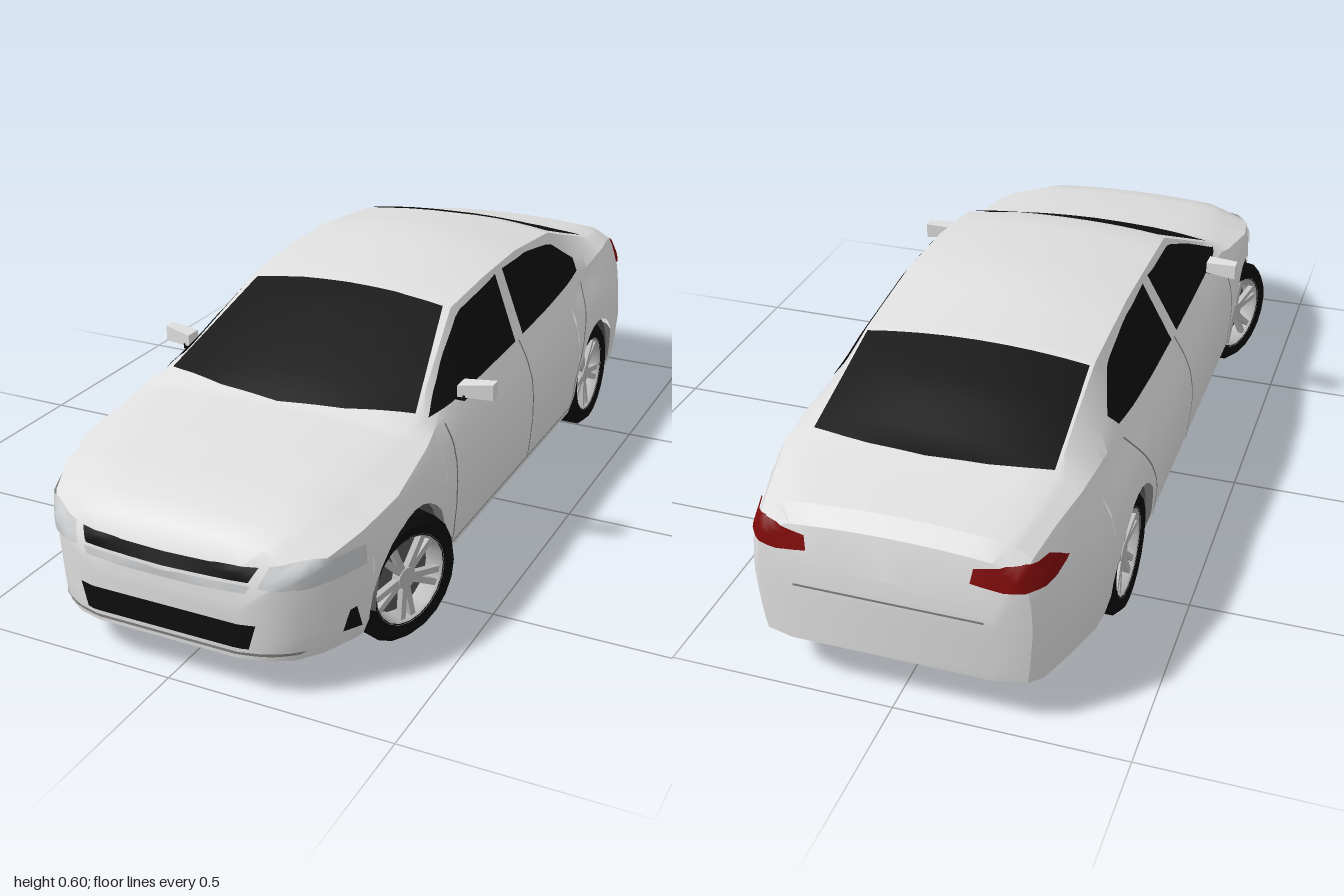
import * as THREE from 'three';
import { mergeGeometries, toCreasedNormals } from 'three/addons/utils/BufferGeometryUtils.js';

const mat = (name, color, double = true) => {
  const m = new THREE.MeshStandardMaterial({ color, side: double ? THREE.DoubleSide : THREE.FrontSide });
  m.name = name;
  return m;
};

// Body stations: z, half width, bottom y, shoulder y, roof edge x, roof edge y, centre y
const KEYS = [
  [0.995, 0.17, 0.09, 0.20, 0.12, 0.235, 0.25], [0.98, 0.23, 0.088, 0.25, 0.16, 0.28, 0.287],
  [0.95, 0.28, 0.085, 0.28, 0.20, 0.312, 0.322], [0.90, 0.322, 0.085, 0.305, 0.23, 0.337, 0.347],
  [0.82, 0.358, 0.085, 0.328, 0.25, 0.36, 0.37], [0.70, 0.382, 0.085, 0.35, 0.27, 0.378, 0.39],
  [0.53, 0.387, 0.085, 0.38, 0.295, 0.398, 0.413], [0.47, 0.387, 0.085, 0.395, 0.305, 0.418, 0.443],
  [0.18, 0.387, 0.085, 0.41, 0.255, 0.555, 0.572], [0, 0.387, 0.085, 0.412, 0.262, 0.573, 0.592],
  [-0.2, 0.387, 0.085, 0.417, 0.262, 0.576, 0.604], [-0.45, 0.387, 0.088, 0.425, 0.26, 0.55, 0.57],
  [-0.6, 0.387, 0.09, 0.43, 0.262, 0.50, 0.522], [-0.75, 0.375, 0.095, 0.43, 0.268, 0.452, 0.465],
  [-0.85, 0.345, 0.10, 0.415, 0.26, 0.437, 0.447], [-0.94, 0.315, 0.11, 0.395, 0.235, 0.42, 0.432],
  [-0.97, 0.29, 0.115, 0.37, 0.21, 0.39, 0.40], [-0.995, 0.22, 0.125, 0.27, 0.17, 0.30, 0.315],
];
// Side curvature: height, fraction of the half width
const PROFILE = [[0.45, 0.84], [0.41, 0.87], [0.35, 0.96], [0.3, 0.99], [0.24, 1], [0.12, 0.97], [0.08, 0.93]];
const WHEELS = [0.645, -0.535], WHEEL_Y = 0.14, ARCH = 0.155;

// Linear lookup in a table whose first column descends
function lookup(table, v) {
  let i = 0;
  while (i < table.length - 2 && v < table[i + 1][0]) i++;
  const a = table[i], b = table[i + 1];
  const t = THREE.MathUtils.clamp((a[0] - v) / (a[0] - b[0]), 0, 1);
  return a.map((n, k) => n + (b[k] - n) * t);
}

function gridGeometry(rows, extra = []) {
  const n = rows[0].length, index = [...extra];
  for (let i = 0; i < rows.length - 1; i++)
    for (let j = 0; j < n - 1; j++) {
      const a = i * n + j, d = a + n;
      index.push(a, d, d + 1, a, d + 1, a + 1);
    }
  const g = new THREE.BufferGeometry();
  g.setAttribute('position', new THREE.Float32BufferAttribute(rows.flat(2), 3));
  g.setIndex(index);
  return g;
}

function stations() {
  const zs = KEYS.map(k => k[0]).concat([0.4, 0.3, 0.1, -0.1, -0.3]);
  for (const w of WHEELS) {
    for (let i = 0; i <= 14; i++) zs.push(w + ARCH * Math.cos(Math.PI * i / 14));
    zs.push(w + ARCH + 0.001, w - ARCH - 0.001);
  }
  return zs.sort((a, b) => b - a);
}
const archAt = z => WHEELS.find(w => Math.abs(z - w) < ARCH + 0.0005);

// Full cross-section from the left sill over the roof to the right sill
function section(z) {
  const [, W, base, ys, xe, ye, yc] = lookup(KEYS, z), w = archAt(z);
  const yb = w === undefined ? base : WHEEL_Y + Math.sqrt(Math.max(0, ARCH ** 2 - (z - w) ** 2));
  const half = [];
  for (let i = 0; i <= 7; i++) {
    const y = yb + (ys - yb) * i / 7;
    half.push([W * lookup(PROFILE, y)[1], y, z]);
  }
  const xs = half[7][0];
  for (let i = 1; i <= 3; i++) half.push([xs + (xe - xs) * i / 3, ys + (ye - ys) * i / 3, z]);
  for (let i = 1; i <= 4; i++) half.push([xe * (1 - i / 4), ye + (yc - ye) * (1 - (1 - i / 4) ** 2), z]);
  return half.concat(half.slice(0, -1).reverse().map(p => [-p[0], p[1], p[2]]));
}

export function createModel() {
  const car = new THREE.Group();
  car.name = 'sedan';
  const paint = mat('white paint', 0xdedede), glass = mat('black glass', 0x0e0e0e), rubber = mat('tire rubber', 0x0b0b0b);
  const alloy = mat('alloy', 0xb8b8b8), red = mat('tail lamp red', 0x7d0a0a), lamp = mat('headlamp', 0xc6c8ca);
  const under = mat('underbody grey', 0x565656), seam = mat('seam grey', 0x808080);
  const add = (name, geo, m, parent = car, pos = [0, 0, 0]) => {
    const mesh = new THREE.Mesh(geo, m);
    mesh.name = name;
    mesh.position.set(...pos);
    parent.add(mesh);
    return mesh;
  };

  // Body shell with closed nose and tail
  const zs = stations(), rows = zs.map(section), n = rows[0].length, caps = [];
  const last = (rows.length - 1) * n;
  for (let j = 0; j < (n - 1) / 2; j++) {
    const a = j, b = j + 1, c = n - 2 - j, d = n - 1 - j;
    caps.push(a, b, c, a, c, d, last + a, last + c, last + b, last + a, last + d, last + c);
  }
  const body = add('bodyShell', toCreasedNormals(gridGeometry(rows, caps), 0.45), paint);
  body.updateMatrixWorld(true);

  // Floor, narrowed between the wheels
  add('floor', gridGeometry(zs.map((z, i) => {
    const x = archAt(z) === undefined ? rows[i][0][0] : 0.2, y = lookup(KEYS, z)[2] + 0.004;
    return [[-x, y, z], [x, y, z]];
  })), under);

  // Thin plate laid on the shell between two outlines; axis gives the casting direction
  const ray = new THREE.Raycaster();
  function plate(name, m, axis, sign, lower, upper, nu = 16, nv = 6, lift = 0.004) {
    const at = (line, t) => {
      const s = t * (line.length - 1), i = Math.min(Math.floor(s), line.length - 2);
      return line[i].map((v, k) => v + (line[i + 1][k] - v) * (s - i));
    };
    let depth = 0;
    const grid = [];
    for (let v = 0; v <= nv; v++) {
      const row = [];
      for (let u = 0; u <= nu; u++) {
        const a = at(lower, u / nu), b = at(upper, u / nu);
        const p = a.map((q, k) => q + (b[k] - q) * v / nv);
        const place = d => axis === 'x' ? new THREE.Vector3(d, p[1], p[0])
          : axis === 'y' ? new THREE.Vector3(p[0], d, p[1]) : new THREE.Vector3(p[0], p[1], d);
        ray.set(place(2 * sign), place(0).sub(place(sign)));
        const hit = ray.intersectObject(body)[0];
        if (hit) depth = hit.point[axis];
        const q = hit ? hit.point : place(depth);
        if (hit) {
          const nrm = hit.face.normal.clone();
          if (nrm.dot(ray.ray.direction) > 0) nrm.negate();
          q.addScaledVector(nrm, lift);
        }
        row.push(q.toArray());
      }
      grid.push(row);
    }
    const g = gridGeometry(grid);
    g.computeVertexNormals();
    return add(name, g, m);
  }
  const line = (name, sign, pts, w = 0.006) =>
    plate(name, seam, 'x', sign, pts, pts.map(([z, y]) => [z - w, y]), 18, 1, 0.002);

  // Windscreen and rear window
  plate('windscreen', glass, 'y', 1, [[-0.3, 0.47], [-0.15, 0.51], [0, 0.528], [0.15, 0.51], [0.3, 0.47]],
    [[-0.238, 0.185], [-0.12, 0.18], [0, 0.178], [0.12, 0.18], [0.238, 0.185]], 20, 10);
  plate('rearWindow', glass, 'y', 1, [[-0.26, -0.735], [-0.13, -0.76], [0, -0.77], [0.13, -0.76], [0.26, -0.735]],
    [[-0.252, -0.465], [0, -0.465], [0.252, -0.465]], 20, 10);

  // Nose: grilles, trim and intake
  plate('upperGrille', glass, 'z', 1, [[-0.185, 0.258], [0, 0.255], [0.185, 0.258]], [[-0.2, 0.285], [0, 0.281], [0.2, 0.285]], 24, 4, 0.005);
  plate('grilleTrim', lamp, 'z', 1, [[-0.18, 0.236], [0, 0.234], [0.18, 0.236]], [[-0.19, 0.252], [0, 0.249], [0.19, 0.252]], 24, 2, 0.006);
  plate('lowerIntake', glass, 'z', 1, [[-0.185, 0.116], [0.185, 0.116]], [[-0.2, 0.17], [0.2, 0.17]], 24, 4, 0.005);
  plate('lipSeam', seam, 'z', 1, [[-0.27, 0.1], [0.27, 0.1]], [[-0.28, 0.106], [0.28, 0.106]], 24, 1, 0.003);
  plate('bootSeam', seam, 'z', -1, [[-0.2, 0.262], [0.2, 0.262]], [[-0.2, 0.267], [0.2, 0.267]], 16, 1, 0.003);

  for (const s of [1, -1]) {
    const side = s > 0 ? 'left' : 'right', m = pts => pts.map(([x, y]) => [x * s, y]);
    // Side windows
    plate(side + 'FrontWindow', glass, 'x', s, [[0.46, 0.41], [0.3, 0.41], [0.1, 0.412], [-0.02, 0.414]],
      [[0.44, 0.418], [0.31, 0.483], [0.17, 0.542], [-0.05, 0.563]]);
    plate(side + 'RearWindow', glass, 'x', s, [[-0.07, 0.415], [-0.25, 0.42], [-0.4, 0.428], [-0.5, 0.438]],
      [[-0.095, 0.563], [-0.25, 0.558], [-0.42, 0.53], [-0.52, 0.465]]);
    // Door seams
    line(side + 'DoorFrontSeam', s, [[0.44, 0.12], [0.445, 0.25], [0.43, 0.39]]);
    line(side + 'DoorMiddleSeam', s, [[-0.03, 0.115], [-0.025, 0.25], [-0.04, 0.41]]);
    line(side + 'DoorRearSeam', s, [[-0.355, 0.115], [-0.36, 0.2], [-0.42, 0.3], [-0.5, 0.41]]);
    plate(side + 'SillSeam', seam, 'x', s, [[0.45, 0.108], [-0.36, 0.108]], [[0.45, 0.113], [-0.36, 0.113]], 16, 1, 0.002);
    // Lamps and fog slot
    plate(side + 'Headlamp', lamp, 'z', 1, m([[0.205, 0.25], [0.29, 0.25], [0.355, 0.262]]), m([[0.22, 0.288], [0.29, 0.3], [0.352, 0.302]]), 12, 5, 0.006);
    plate(side + 'FogSlot', glass, 'z', 1, m([[0.325, 0.125], [0.345, 0.12]]), m([[0.335, 0.17], [0.342, 0.172]]), 3, 4, 0.004);
    plate(side + 'TailLampRear', red, 'z', -1, m([[0.17, 0.345], [0.235, 0.335], [0.285, 0.338]]), m([[0.175, 0.375], [0.235, 0.385], [0.285, 0.388]]), 12, 6, 0.005);
    plate(side + 'TailLampSide', red, 'x', s, [[-0.865, 0.352], [-0.9, 0.34], [-0.965, 0.338]], [[-0.855, 0.358], [-0.9, 0.386], [-0.955, 0.388]], 10, 5, 0.005);

    // Door mirror: tapered housing on a dark stalk
    const housing = new THREE.BoxGeometry(0.075, 0.037, 0.035, 3, 2, 2), p = housing.attributes.position;
    for (let i = 0; i < p.count; i++) {
      const t = p.getX(i) * s / 0.075 + 0.5;
      p.setY(i, p.getY(i) * (0.72 + 0.28 * t));
      p.setZ(i, p.getZ(i) * (1.2 - 0.4 * t) - 0.015 * t);
    }
    add(side + 'Mirror', toCreasedNormals(housing, 0.6), paint, car, [0.378 * s, 0.43, 0.32]);
    add(side + 'MirrorStalk', new THREE.BoxGeometry(0.035, 0.012, 0.025), rubber, car, [0.34 * s, 0.414, 0.325]);
  }

  // Wheel parts, built along y with the outer face up
  const v2 = pts => pts.map(q => new THREE.Vector2(...q));
  const tire = toCreasedNormals(new THREE.LatheGeometry(v2([[0.098, -0.044], [0.125, -0.05], [0.14, -0.034],
    [0.14, 0.034], [0.125, 0.05], [0.098, 0.044]]), 20), 0.6);
  const rim = new THREE.LatheGeometry(v2([[0.09, -0.044], [0.088, 0.01], [0.094, 0.04], [0.101, 0.045]]), 20);
  const spokes = [new THREE.CylinderGeometry(0.024, 0.026, 0.02, 12).translate(0, 0.026, 0)];
  for (let i = 0; i < 5; i++)
    for (const d of [-0.16, 0.16])
      spokes.push(new THREE.BoxGeometry(0.08, 0.014, 0.014).rotateZ(0.08).translate(0.055, 0.029, 0)
        .rotateY(i * Math.PI * 0.4 + d));
  const spokeSet = mergeGeometries(spokes);

  WHEELS.forEach((z, k) => {
    const end = k ? 'rear' : 'front';
    for (const s of [1, -1]) {
      const hub = new THREE.Group(), wheel = new THREE.Group();
      hub.name = end + (s > 0 ? 'Left' : 'Right') + 'Wheel';
      hub.position.set((k ? 0.322 : 0.335) * s, WHEEL_Y, z);
      hub.rotation.y = k ? 0 : -0.35;
      wheel.name = 'wheelAssembly';
      wheel.rotation.z = -s * Math.PI / 2;
      hub.add(wheel);
      car.add(hub);
      add('tire', tire, rubber, wheel);
      add('rim', rim, alloy, wheel);
      add('spokes', spokeSet, alloy, wheel);
      add('brakeDisc', new THREE.CylinderGeometry(0.087, 0.087, 0.01, 20), under, wheel);
      // Wheel well liner and inner wall
      const liner = new THREE.CylinderGeometry(ARCH, ARCH, 0.165, 14, 1, true, 0, Math.PI).rotateZ(Math.PI / 2);
      liner.rotateX(liner.attributes.position.getY(7) > 0 ? 0 : Math.PI);
      add(end + 'WheelWell', liner, under, car, [0.2825 * s, WHEEL_Y, z]);
      add(end + 'WellWall', new THREE.PlaneGeometry(0.31, 0.2).rotateY(Math.PI / 2), under, car, [0.2 * s, 0.19, z]);
    }
    add(end + 'Axle', new THREE.CylinderGeometry(0.014, 0.014, 0.58, 8).rotateZ(Math.PI / 2), under, car, [0, 0.125, z]);
  });

  // Exhaust pipe along the floor
  add('exhaustPipe', new THREE.CylinderGeometry(0.012, 0.012, 1.2, 8).rotateX(Math.PI / 2), seam, car, [0, 0.09, -0.1]);
  return car;
}
